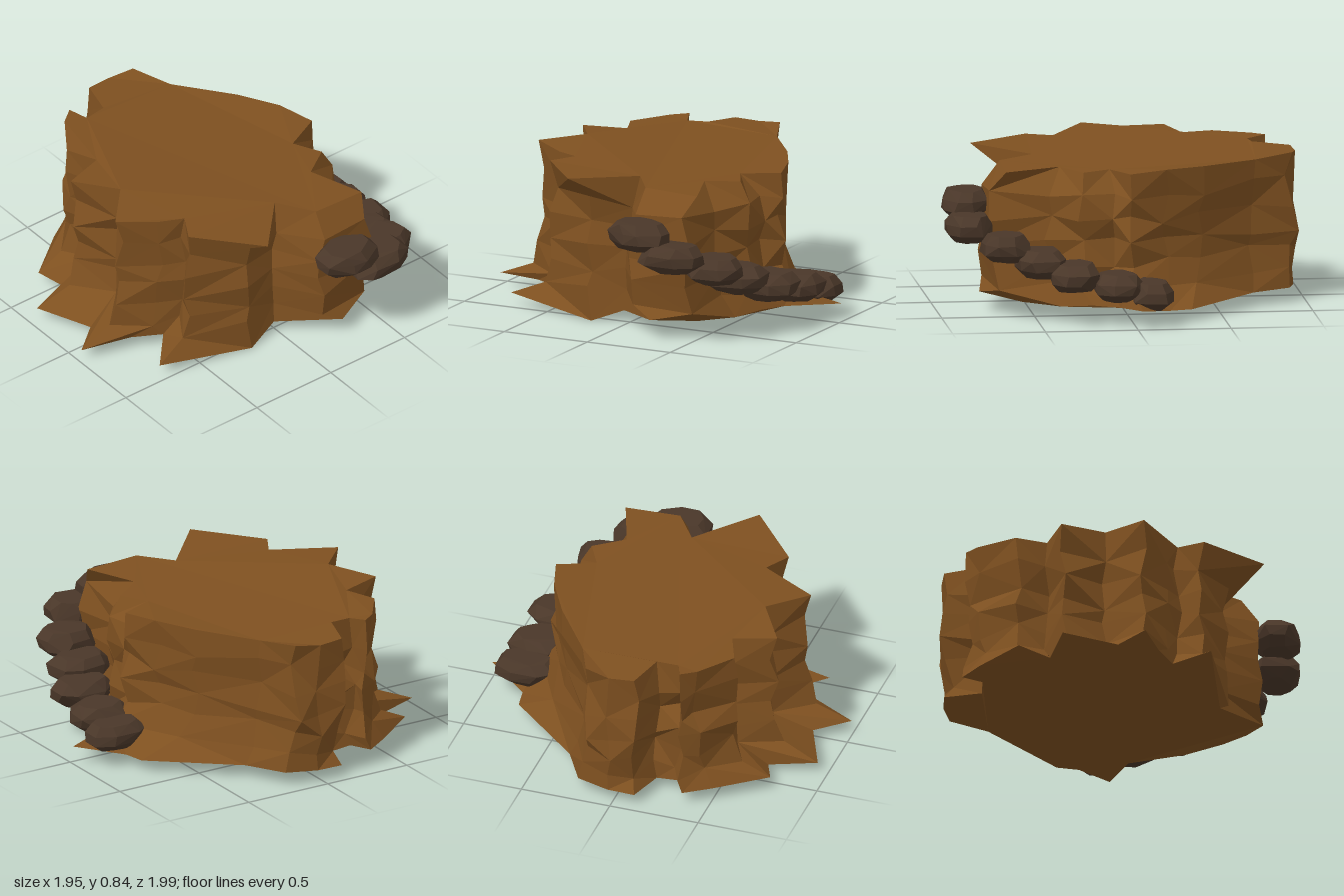
import * as THREE from 'three';
import { ConvexGeometry } from 'three/addons/geometries/ConvexGeometry.js';

const rockMat = new THREE.MeshStandardMaterial({ color: 0x7e5020, flatShading: true });
const stoneMat = new THREE.MeshStandardMaterial({ color: 0x4a3729, flatShading: true });

// small seeded noise in -1..1
function makeNoise(seed) {
  let s = seed;
  return () => {
    s = (s * 16807) % 2147483647;
    return (s / 2147483647) * 2 - 1;
  };
}

// matching outlines of the plateau rim and of the foot: [x, z]
const rim = [
  [0.76, 0.24], [0.43, 0.52], [0.29, 0.44], [0.22, 0.57], [0.1, 0.76], [-0.1, 0.57],
  [-0.34, 0.72], [-0.41, 0.49], [-0.58, 0.56], [-0.78, 0.42], [-0.84, 0.34], [-0.74, 0.3],
  [-0.75, 0.18], [-0.95, 0.12], [-0.96, -0.02], [-0.93, -0.16], [-0.72, -0.25], [-0.42, -0.47],
  [-0.2, -0.59], [0, -0.65], [0.09, -0.45], [0.24, -0.53], [0.35, -0.37], [0.65, -0.48],
  [0.65, -0.17], [0.46, -0.04],
];
const foot = [
  [0.57, 0.2], [0.46, 0.74], [0.26, 0.56], [0.18, 0.72], [0.1, 0.99], [-0.04, 0.82],
  [-0.34, 0.95], [-0.4, 0.69], [-0.57, 0.76], [-0.77, 0.5], [-0.86, 0.36], [-0.75, 0.3],
  [-0.75, 0.18], [-0.95, 0.12], [-0.95, -0.03], [-0.91, -0.21], [-0.7, -0.33], [-0.32, -0.75],
  [-0.2, -0.77], [-0.03, -1], [0.06, -0.7], [0.2, -0.64], [0.36, -0.56], [0.56, -0.44],
  [0.77, -0.26], [0.53, 0.02],
];
// where the wall between rim and foot leaves the line of the rim
const waist = rim.map((p) => p);
waist[0] = [0.57, 0.21];
waist[20] = [0.1, -0.58];
waist[21] = [0.26, -0.6];
waist[22] = [0.42, -0.48];
waist[23] = [0.75, -0.46];
waist[24] = [0.77, -0.14];
waist[25] = [0.52, 0];

// cliff layers from the ground up: [height, outline, share of it against the waist]
const layers = [
  [0.07, foot, 1], [0.16, foot, 0.25], [0.29, foot, 0.06], [0.4, foot, 0.03],
  [0.53, rim, 0], [0.66, rim, 0.1], [0.8, rim, 1],
];

function cliffGeometry() {
  const noise = makeNoise(4211);
  const n = rim.length;
  const rings = layers.map(([y, outline, share], r) => waist.map(([x, z], i) => {
    const edge = r === 0 || r === layers.length - 1;
    const k = edge ? 1 : 0.985 + 0.03 * noise();
    const jig = edge ? 0 : 0.025;
    const slope = r === layers.length - 1 ? 0.025 * z : 0;
    return new THREE.Vector3(
      THREE.MathUtils.lerp(x, outline[i][0], share) * k + jig * noise(),
      y + slope + (edge ? 0.012 : 0.03) * noise(),
      THREE.MathUtils.lerp(z, outline[i][1], share) * k + jig * noise());
  }));
  // raised points on the rim, lowest and rear points of the foot
  const top = rings[rings.length - 1];
  top[0].y = 0.82;
  top[5].y = 0.84;
  rings[0][0].y = 0;
  rings[0][7].y = 0.04;
  rings[0][19].y = 0.1;
  rings[0][24].y = 0.1;

  const pos = [];
  const tri = (...pts) => pts.forEach((p) => pos.push(p.x, p.y, p.z));
  for (let r = 0; r < rings.length - 1; r++) {
    for (let i = 0; i < n; i++) {
      const j = (i + 1) % n;
      const lo = rings[r], hi = rings[r + 1];
      if ((i + r) % 2) {
        tri(lo[i], hi[i], lo[j]);
        tri(hi[i], hi[j], lo[j]);
      } else {
        tri(lo[i], hi[i], hi[j]);
        tri(lo[i], hi[j], lo[j]);
      }
    }
  }
  // plateau and underside
  const cap = (ring, up) => {
    const flat = ring.map((p) => new THREE.Vector2(p.x, p.z));
    for (const [a, b, c] of THREE.ShapeUtils.triangulateShape(flat, [])) {
      const facesUp = THREE.ShapeUtils.area([flat[a], flat[b], flat[c]]) < 0;
      if (facesUp === up) tri(ring[a], ring[b], ring[c]);
      else tri(ring[a], ring[c], ring[b]);
    }
  };
  cap(top, true);
  cap(rings[0], false);

  const geo = new THREE.BufferGeometry();
  geo.setAttribute('position', new THREE.Float32BufferAttribute(pos, 3));
  geo.computeVertexNormals();
  return geo;
}

// chipped boulder: convex hull of four uneven, squarish rings
function stoneGeometry(seed) {
  const noise = makeNoise(seed);
  const pts = [];
  for (const [y, radius] of [[-1, 0.66], [-0.4, 1.02], [0.35, 1.04], [1, 0.76]]) {
    for (let i = 0; i < 8; i++) {
      const a = ((i + 0.5 + 0.25 * noise()) / 8) * Math.PI * 2;
      const c = Math.cos(a), s = Math.sin(a);
      const square = Math.pow(c ** 6 + s ** 6, -1 / 6);
      const k = radius * square * (0.98 + 0.05 * noise());
      pts.push(new THREE.Vector3(c * k, y * (0.95 + 0.06 * noise()), s * k));
    }
  }
  return new ConvexGeometry(pts);
}

// stepping stones, lowest first: [x, y, z, half width, half depth, turn]
const steps = [
  [-0.1, 0.155, -0.78, 0.105, 0.16, 0],
  [0.08, 0.2, -0.77, 0.122, 0.15, 0.05],
  [0.31, 0.25, -0.725, 0.127, 0.163, -0.08],
  [0.485, 0.315, -0.63, 0.122, 0.163, 0.1],
  [0.67, 0.395, -0.6, 0.122, 0.15, 0.1],
  [0.845, 0.48, -0.43, 0.12, 0.168, -0.04],
  [0.845, 0.58, -0.235, 0.12, 0.165, -0.05],
];

export function createModel() {
  const model = new THREE.Group();
  model.name = 'rockPlateau';

  const cliff = new THREE.Mesh(cliffGeometry(), rockMat);
  cliff.name = 'cliff';
  model.add(cliff);

  const stairs = new THREE.Group();
  stairs.name = 'stoneStairs';
  steps.forEach(([x, y, z, w, d, turn], i) => {
    const stone = new THREE.Mesh(stoneGeometry(731 + i * 97), stoneMat);
    stone.name = 'step' + (i + 1);
    stone.position.set(x, y, z);
    stone.scale.set(w, 0.076, d);
    stone.rotation.y = turn;
    stairs.add(stone);
  });
  model.add(stairs);
  return model;
}
